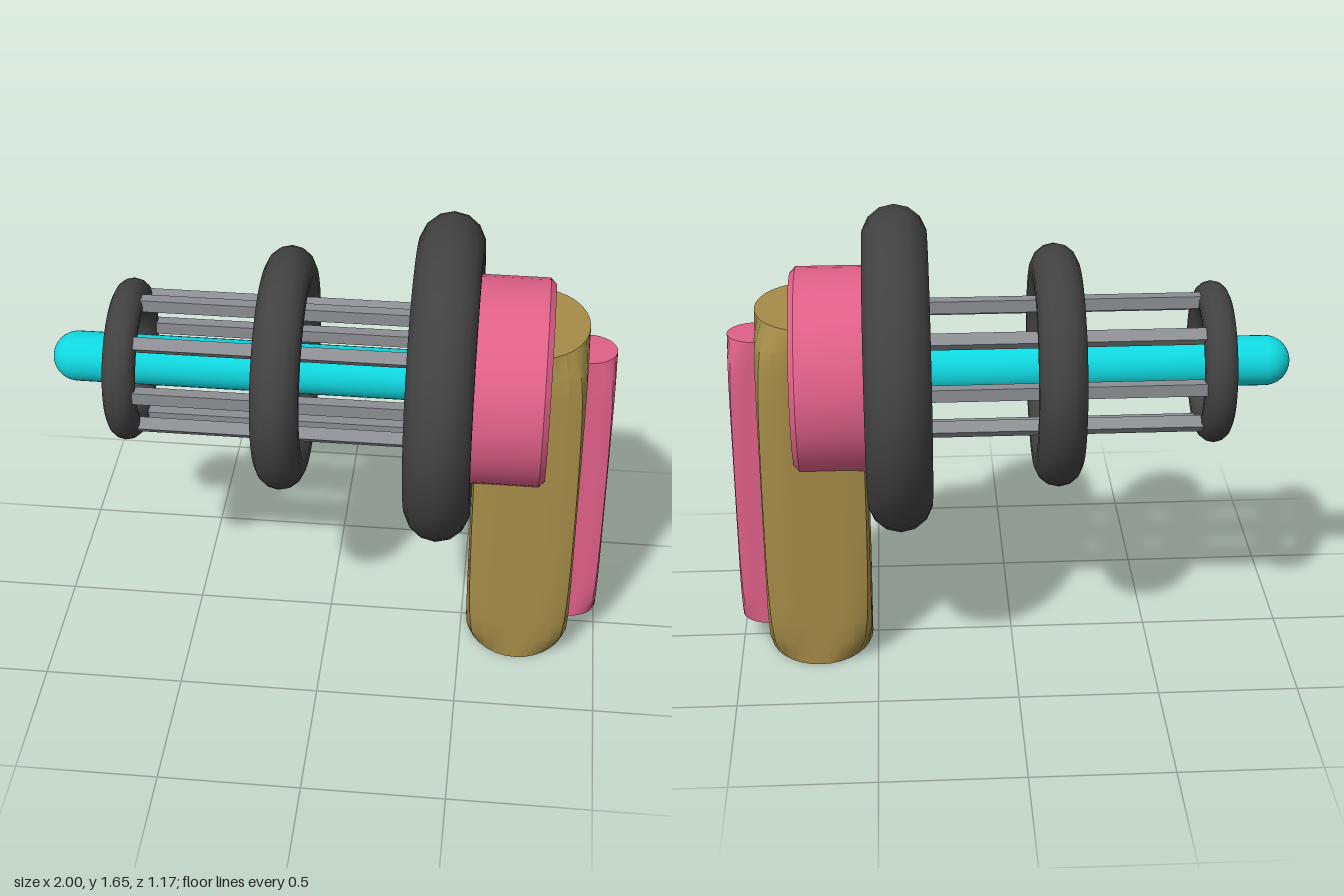
import * as THREE from 'three';
import { toCreasedNormals } from 'three/addons/utils/BufferGeometryUtils.js';

const AXIS_Y = 1.07; // height of the barrel axis

const mat = (color) => new THREE.MeshStandardMaterial({ color });
const cyan = mat(0x10d8e0), pink = mat(0xe0608a), tan = mat(0xa58c48);
const dark = mat(0x424242), steel = mat(0x8c8e93);

// Upright bar: oval at both ends, swelling to a nearly square section at mid height
function swollenBar(rx, rz, height) {
  const geo = new THREE.CylinderGeometry(1, 1, height, 32, 16);
  const p = geo.attributes.position;
  for (let i = 0; i < p.count; i++) {
    const x = p.getX(i), z = p.getZ(i);
    const len = Math.hypot(x, z);
    if (len < 1e-6) continue;
    const n = 2 + 14 * Math.sin(Math.PI * (p.getY(i) / height + 0.5));
    const c = Math.abs(x / len), s = Math.abs(z / len);
    const r = Math.pow(Math.pow(c, n) + Math.pow(s, n), -1 / n);
    p.setXYZ(i, x * r * rx, p.getY(i), z * r * rz);
  }
  return toCreasedNormals(geo, 0.5);
}

export function createModel() {
  const model = new THREE.Group();
  const add = (name, geo, material, x, y, z = 0) => {
    const mesh = new THREE.Mesh(geo, material);
    mesh.name = name;
    mesh.position.set(x, y, z);
    model.add(mesh);
    return mesh;
  };

  // Glowing core with a domed tip
  const core = new THREE.CapsuleGeometry(0.09, 1.35, 10, 32);
  core.rotateZ(Math.PI / 2);
  add('core', core, cyan, -0.235, AXIS_Y);

  // Three rings growing toward the body: [x, outer radius, tube radius]
  [[-0.72, 0.29, 0.058], [-0.16, 0.435, 0.085], [0.405, 0.583, 0.117]].forEach(([x, R, t], i) => {
    const ring = new THREE.TorusGeometry(R - t, t, 14, 48);
    ring.rotateY(Math.PI / 2);
    add('ring' + (i + 1), ring, dark, x, AXIS_Y);
  });

  // Eight square rods forming a cage around the core
  for (let i = 0; i < 8; i++) {
    const a = (i * Math.PI) / 4;
    const rod = add('cageRod' + (i + 1), new THREE.BoxGeometry(1.17, 0.045, 0.045), steel,
      -0.135, AXIS_Y + 0.235 * Math.cos(a), 0.235 * Math.sin(a));
    rod.rotation.x = a;
  }

  // Body drum with a chamfered rear edge
  const profile = [[0, -0.19], [0.37, -0.19], [0.37, 0.165], [0.35, 0.185], [0, 0.185]]
    .map(([r, y]) => new THREE.Vector2(r, y));
  const drum = new THREE.LatheGeometry(profile, 40);
  drum.rotateZ(-Math.PI / 2);
  add('bodyDrum', toCreasedNormals(drum, 0.5), pink, 0.59, AXIS_Y);

  // Grip and the narrow spine set into its back
  add('grip', swollenBar(0.19, 0.235, 1.315), tan, 0.71, 0.6575);
  add('gripSpine', swollenBar(0.1, 0.094, 1.12), pink, 0.9, 0.66);

  return model;
}
